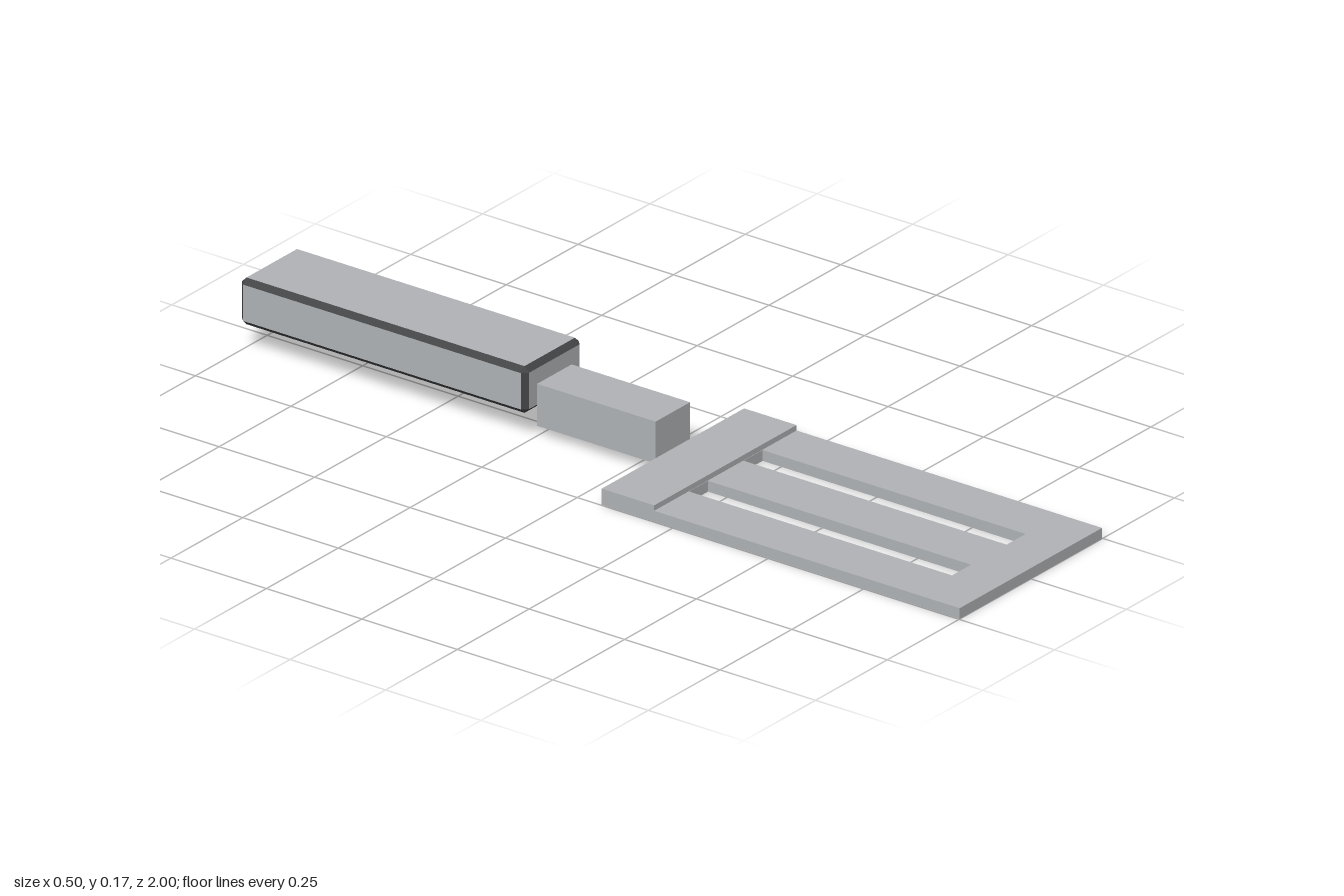
import * as THREE from 'three';

const metal = new THREE.MeshStandardMaterial({ color: 0xb0b3b6 });
metal.name = 'light grey';
const trim = new THREE.MeshStandardMaterial({ color: 0x444547 });
trim.name = 'dark grey';

// Box given by its limits on each axis
function block(name, [x0, x1], [y0, y1], [z0, z1]) {
  const mesh = new THREE.Mesh(new THREE.BoxGeometry(x1 - x0, y1 - y0, z1 - z0), metal);
  mesh.position.set((x0 + x1) / 2, (y0 + y1) / 2, (z0 + z1) / 2);
  mesh.name = name;
  return mesh;
}

// Flat-shaded geometry from convex polygons around the origin, wound outward
function facets(polygons) {
  const points = [];
  for (const poly of polygons) {
    for (let i = 1; i < poly.length - 1; i++) {
      const [a, b, c] = [poly[0], poly[i], poly[i + 1]];
      const normal = b.clone().sub(a).cross(c.clone().sub(a));
      points.push(...(normal.dot(a) > 0 ? [a, b, c] : [a, c, b]));
    }
  }
  const geometry = new THREE.BufferGeometry().setFromPoints(points);
  geometry.computeVertexNormals();
  return geometry;
}

// Box with chamfered edges: light faces, dark chamfers
function chamferedBox(name, size, bevel) {
  const half = size.map((s) => s / 2);
  // Corner point lying on the face across the given axis
  const corner = (axis, signs) => new THREE.Vector3(
    ...signs.map((s, i) => s * (half[i] - (i === axis ? 0 : bevel))));
  const faces = [], chamfers = [];
  for (let a = 0; a < 3; a++) {
    const b = (a + 1) % 3, c = (a + 2) % 3;
    const signs = (sa, sb, sc) => {
      const s = [];
      s[a] = sa; s[b] = sb; s[c] = sc;
      return s;
    };
    for (const s of [-1, 1]) {
      faces.push([[-1, -1], [1, -1], [1, 1], [-1, 1]].map(([u, v]) => corner(a, signs(s, u, v))));
      for (const t of [-1, 1]) {
        const near = signs(s, t, -1), far = signs(s, t, 1);
        chamfers.push([corner(a, near), corner(a, far), corner(b, far), corner(b, near)]);
      }
    }
  }
  for (let i = 0; i < 8; i++) {
    const s = [i & 1, i & 2, i & 4].map((bit) => (bit ? 1 : -1));
    chamfers.push([0, 1, 2].map((axis) => corner(axis, s)));
  }
  const group = new THREE.Group();
  group.name = name;
  const body = new THREE.Mesh(facets(faces), metal);
  body.name = name + 'Faces';
  const edges = new THREE.Mesh(facets(chamfers), trim);
  edges.name = name + 'Chamfers';
  group.add(body, edges);
  return group;
}

// Thin slotted blade, drawn in plan and laid flat
function slottedBlade() {
  const rect = (path, x0, x1, z0, z1) => path
    .moveTo(x0, z0).lineTo(x1, z0).lineTo(x1, z1).lineTo(x0, z1).closePath();
  const plan = new THREE.Shape();
  rect(plan, -0.248, 0.248, 0.2, 1);
  for (const x of [-0.095, 0.095]) {
    const slot = new THREE.Path();
    rect(slot, x - 0.033, x + 0.033, 0.201, 0.89);
    plan.holes.push(slot);
  }
  const geometry = new THREE.ExtrudeGeometry(plan, { depth: 0.025, bevelEnabled: false });
  geometry.rotateX(Math.PI / 2).translate(0, 0.025, 0);
  const mesh = new THREE.Mesh(geometry, metal);
  mesh.name = 'slottedBlade';
  return mesh;
}

export function createModel() {
  const model = new THREE.Group();
  model.name = 'spatula';
  model.add(slottedBlade());
  model.add(block('bladeCollar', [-0.248, 0.248], [0, 0.0375], [0.0625, 0.2]));
  model.add(block('neck', [-0.06, 0.06], [0.025, 0.122], [-0.248, 0.0625]));

  const handle = chamferedBox('handle', [0.2, 0.108, 0.752], 0.012);
  handle.position.set(0, 0.116, -0.624);
  model.add(handle);
  return model;
}
